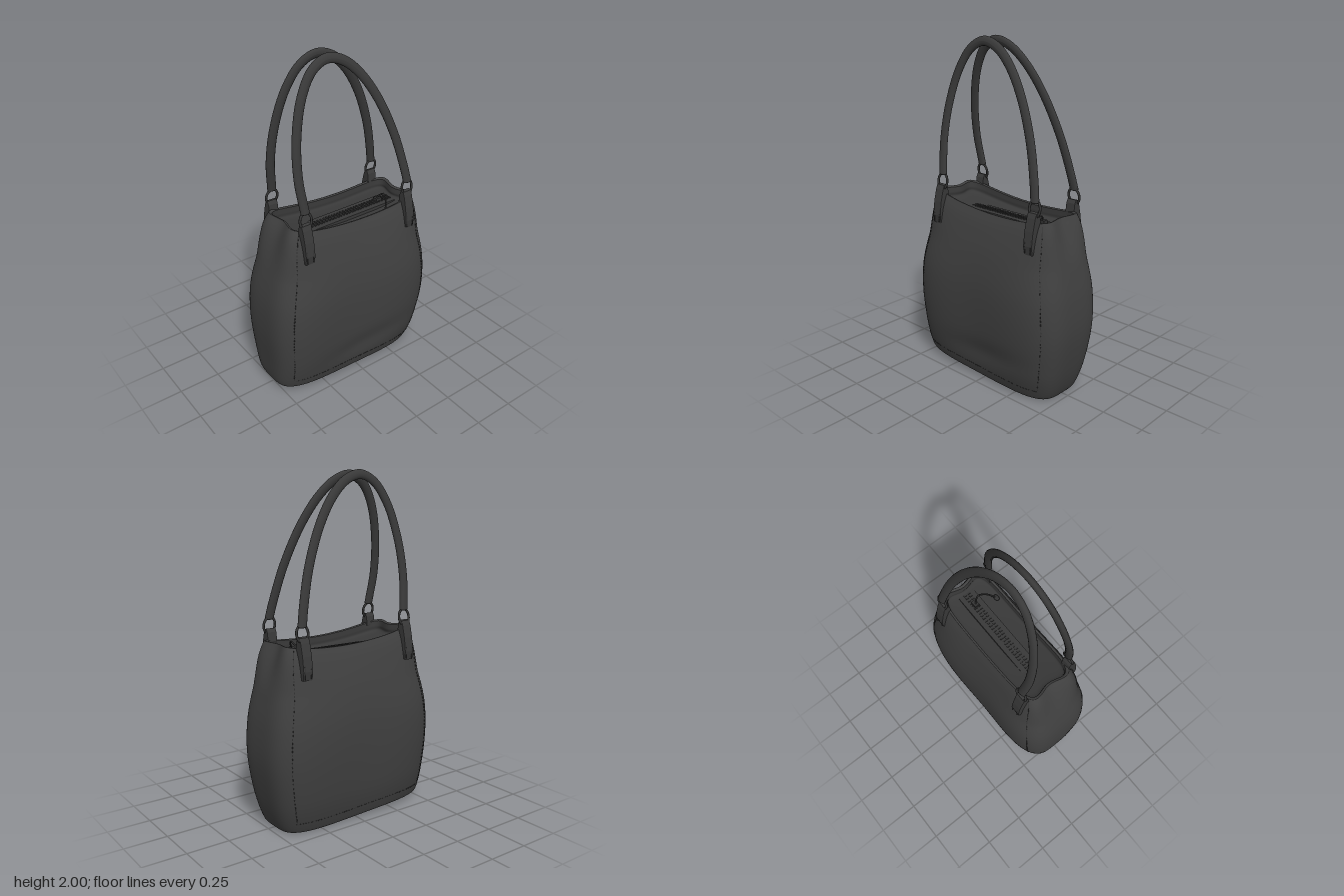
import * as THREE from 'three';
import { mergeGeometries } from 'three/addons/utils/BufferGeometryUtils.js';

const mat = (name, color, side = THREE.FrontSide) => {
  const m = new THREE.MeshStandardMaterial({ color, side });
  m.name = name;
  return m;
};

// Cross-sections: [height, left-most x, right-most x, half depth]
const SHELL = [
  [0.035, -0.03, -0.03, 0], [0.035, -0.3, 0.24, 0.09], [0.028, -0.44, 0.38, 0.155],
  [0.022, -0.5, 0.44, 0.185], [0.05, -0.53, 0.475, 0.205], [0.2, -0.545, 0.52, 0.245],
  [0.42, -0.557, 0.552, 0.27], [0.62, -0.545, 0.545, 0.27], [0.8, -0.505, 0.512, 0.242],
  [0.95, -0.455, 0.475, 0.2], [1.03, -0.418, 0.45, 0.17], [1.043, -0.41, 0.443, 0.163],
  [1.038, -0.398, 0.43, 0.152],
];
const LINING = [
  [1.038, -0.398, 0.43, 0.152], [1.01, -0.392, 0.424, 0.149], [0.985, -0.386, 0.418, 0.145],
  [0.978, -0.3, 0.33, 0.1], [0.978, 0.02, 0.02, 0],
];

// Returns surface(t, angle) for a stack of rounded-rectangle sections
function makeSurface(rows) {
  const yz = new THREE.SplineCurve(rows.map(r => new THREE.Vector2(r[0], r[3])));
  const xx = new THREE.SplineCurve(rows.map(r => new THREE.Vector2(r[1], r[2])));
  return (t, a) => {
    const p = yz.getPoint(t), q = xx.getPoint(t);
    const top = THREE.MathUtils.smoothstep(p.x, 0.8, 1.03);
    const n = 4 + 2 * top;
    const c = Math.cos(a), s = Math.sin(a);
    const r = Math.pow(Math.abs(c) ** n + Math.abs(s) ** n, -1 / n);
    const half = (q.y - q.x) / 2;
    let x = (q.x + q.y) / 2 + c * r * half;
    let z = s * r * p.y;
    // gusset folds inward at the mouth
    x -= Math.sign(c) * Math.abs(c * r) ** 8 * 0.03 * top * Math.exp(-((z / 0.08) ** 2)) * Math.min(1, half / 0.4);
    // soft leather: slight waist and a shallow fold low on the front
    z *= 1 - 0.06 * Math.exp(-(((x + 0.06) / 0.24) ** 2)) * Math.sin(Math.PI * Math.min(p.x, 1));
    if (s > 0) z -= 0.014 * s * Math.exp(-(((p.x - 0.2 - 0.1 * x) / 0.07) ** 2) - ((x - 0.05) / 0.3) ** 2);
    // base slopes gently, mouth sags in the middle
    const y = p.x - 0.04 * x * (1 - Math.min(p.x, 1)) + 0.23 * (x - 0.12) ** 2 * top;
    return new THREE.Vector3(x, y, z);
  };
}

function loft(surface, steps, around = 128) {
  const pos = [], idx = [];
  for (let i = 0; i <= steps; i++)
    for (let j = 0; j < around; j++) pos.push(...surface(i / steps, (j / around) * Math.PI * 2).toArray());
  for (let i = 0; i < steps; i++)
    for (let j = 0; j < around; j++) {
      const k = (j + 1) % around;
      const a = i * around + j, b = a + around, c = i * around + k, d = c + around;
      idx.push(a, b, c, b, d, c);
    }
  const g = new THREE.BufferGeometry();
  g.setAttribute('position', new THREE.Float32BufferAttribute(pos, 3));
  g.setIndex(idx);
  g.computeVertexNormals();
  return g;
}

// Short dashes laid along a path function
function stitches(path, count) {
  const parts = [], o = new THREE.Object3D();
  for (let i = 0; i < count; i++) {
    o.position.copy(path(i / count));
    o.lookAt(path((i + 0.5) / count));
    o.updateMatrix();
    parts.push(new THREE.BoxGeometry(0.004, 0.004, 0.011).applyMatrix4(o.matrix));
  }
  return mergeGeometries(parts);
}

export function createModel() {
  const bag = new THREE.Group();
  bag.name = 'handbag';
  const leather = mat('charcoal leather', 0x404040, THREE.DoubleSide);
  const trim = mat('dark trim leather', 0x393939);
  const inside = mat('lining', 0x383838, THREE.DoubleSide);
  const metal = mat('dark metal', 0x333333);
  const thread = mat('thread', 0x303030);
  const add = (name, geometry, material) => {
    const m = new THREE.Mesh(geometry, material);
    m.name = name;
    bag.add(m);
    return m;
  };

  // Body and lining
  const shell = makeSurface(SHELL);
  add('body', loft(shell, 96), leather);
  add('lining', loft(makeSurface(LINING), 24), inside);

  // Seams at the four corners and along the bottom of both faces
  const seam = Math.atan2(0.82, 0.86);
  for (const a of [seam, Math.PI - seam, Math.PI + seam, -seam])
    add('cornerSeam', stitches(t => shell(0.37 + 0.46 * t, a), 50), thread);
  for (const s of [1, -1])
    add('bottomSeam', stitches(t => shell(0.36, s * (seam + t * (Math.PI - 2 * seam))), 48), thread);

  // Zip: raised tape, two rows of teeth and a pull
  const tape = add('zipTape', new THREE.BoxGeometry(0.735, 0.02, 0.105), trim);
  tape.position.set(0.015, 0.99, -0.003);
  const teeth = [];
  for (let i = 0; i < 36; i++)
    for (const z of [-0.016, 0.01])
      teeth.push(new THREE.BoxGeometry(0.009, 0.008, 0.018).translate(-0.34 + i * 0.0203, 1.002, z));
  add('zipTeeth', mergeGeometries(teeth), metal);
  const slider = add('zipSlider', new THREE.BoxGeometry(0.04, 0.022, 0.03), metal);
  slider.position.set(0.29, 1.012, -0.003);
  const cord = new THREE.CatmullRomCurve3([[0.285, 1.025, -0.005], [0.305, 1.055, 0.03],
    [0.285, 1.04, 0.08], [0.255, 1.005, 0.115]].map(p => new THREE.Vector3(...p)));
  add('zipCord', new THREE.TubeGeometry(cord, 20, 0.005, 8), metal);
  const pull = add('zipPull', new THREE.SphereGeometry(0.022, 16, 10), metal);
  pull.scale.set(1, 0.4, 0.7);
  pull.position.set(0.248, 1.0, 0.122);

  // Handles, rings and tabs on the front and back
  const arc = new THREE.CatmullRomCurve3([[-0.342, 1.21], [-0.359, 1.4], [-0.342, 1.61], [-0.285, 1.81],
    [-0.205, 1.93], [-0.112, 1.973], [-0.01, 1.945], [0.095, 1.855], [0.2, 1.7], [0.295, 1.48],
    [0.352, 1.27], [0.37, 1.18]].map(p => new THREE.Vector3(p[0], p[1], 0)));
  for (const s of [1, -1]) {
    const side = s > 0 ? 'front' : 'back';
    const lean = y => s * (0.165 - 0.15 * (y - 1.2)) - 0.005;
    const ends = [arc.getPoint(0), arc.getPoint(1)].map(p =>
      new THREE.SphereGeometry(0.027, 16, 10).scale(1, 0.4, 1).translate(p.x, p.y, 0));
    const handle = mergeGeometries([new THREE.TubeGeometry(arc, 90, 0.027, 16), ...ends]);
    const p = handle.attributes.position;
    for (let i = 0; i < p.count; i++) p.setZ(i, p.getZ(i) * 0.65 + lean(p.getY(i)));
    handle.computeVertexNormals();
    add(side + 'Handle', handle, trim);

    for (const [x, y] of [[-0.342, 1.163], [0.37, 1.14]]) {
      const ring = add(side + 'Ring', new THREE.TorusGeometry(0.037, 0.007, 10, 32), metal);
      ring.scale.y = 1.25;
      ring.position.set(x, y, lean(1.18));
      ring.rotation.x = -s * 0.15;

      // Tab profile in the side plane, swept across its width
      const outline = [[0.182, -0.245], [0.208, -0.245], [0.213, -0.2], [0.203, -0.12], [0.186, -0.05],
        [0.176, -0.025], [0.162, -0.022], [0.152, -0.04], [0.145, -0.09], [0.165, -0.15]];
      const shape = new THREE.Shape(outline.map(([z, dy]) => new THREE.Vector2(-s * z, y + dy)));
      const tab = new THREE.ExtrudeGeometry(shape, { depth: 0.052, bevelSize: 0.004, bevelThickness: 0.005, bevelSegments: 2 });
      tab.rotateY(Math.PI / 2).translate(x - 0.026 - 0.006, 0, -0.003);
      add(side + 'Tab', tab, trim);
      const rows = [-0.026, 0.014].map(dx =>
        stitches(t => new THREE.Vector3(x + dx, y - 0.235 + 0.1 * t, s * (0.2165 - 0.012 * t * t) - 0.003), 8));
      add(side + 'TabStitching', mergeGeometries(rows), thread);
    }
  }
  return bag;
}
